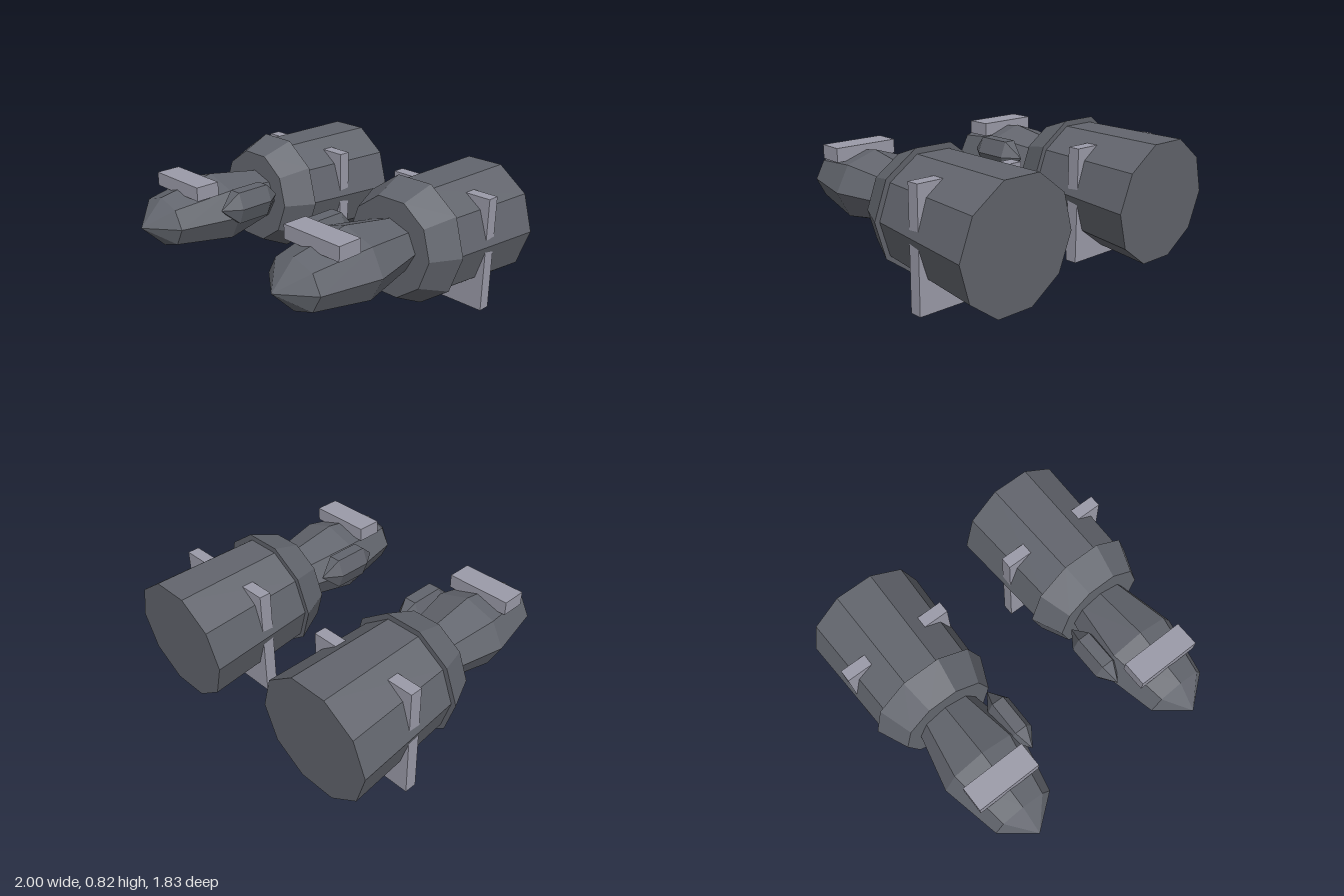
import * as THREE from 'three';

const darkGrey = new THREE.MeshStandardMaterial({ color: 0x62656d });
const paleGrey = new THREE.MeshStandardMaterial({ color: 0x9a9aa8 });
darkGrey.name = 'darkGrey';
paleGrey.name = 'paleGrey';

// Faceted mesh: every face keeps its own normal
function part(name, geometry, material, x, y, z) {
  const flat = geometry.toNonIndexed();
  flat.computeVertexNormals();
  const mesh = new THREE.Mesh(flat, material);
  mesh.name = name;
  mesh.position.set(x, y, z);
  return mesh;
}

// Ten-sided tapered sleeve along z, with corners on the x axis
function sleeve(frontRadius, backRadius, length) {
  return new THREE.CylinderGeometry(frontRadius, backRadius, length, 10)
    .rotateY(Math.PI / 2).rotateX(Math.PI / 2);
}

// Low-poly ellipsoid with its poles along z
function ellipsoid(rx, ry, rz, sides, rings) {
  return new THREE.SphereGeometry(1, sides, rings)
    .rotateX(Math.PI / 2).scale(rx, ry, rz);
}

function createGauntlet(side) {
  const glove = new THREE.Group();
  glove.name = side > 0 ? 'leftGauntlet' : 'rightGauntlet';
  glove.position.x = side * 0.603;

  // Forearm cuff and flared wrist band, tilted slightly upwards
  const cuff = part('cuff', sleeve(0.362, 0.395, 0.72), darkGrey, 0, 0.424, -0.54);
  const band = part('wristBand', sleeve(0.308, 0.395, 0.2), darkGrey, 0, 0.453, -0.09);
  cuff.rotation.x = band.rotation.x = -0.053;

  // Fist, and thumb on the inner side
  const fist = part('fist', ellipsoid(0.285, 0.225, 0.54, 8, 4), darkGrey, 0, 0.475, 0.37);
  const thumb = part('thumb', ellipsoid(0.092, 0.135, 0.225, 6, 3), darkGrey, -side * 0.27, 0.55, 0.275);

  // Knuckle guard and upright plate through the cuff
  const guard = part('knuckleGuard', new THREE.BoxGeometry(0.42, 0.088, 0.16), paleGrey, 0, 0.676, 0.55);
  const plate = part('cuffPlate', new THREE.BoxGeometry(0.725, 0.727, 0.078), paleGrey, 0, 0.3635, -0.497);

  glove.add(cuff, band, fist, thumb, guard, plate);
  return glove;
}

export function createModel() {
  const model = new THREE.Group();
  model.name = 'gauntletPair';
  for (const side of [1, -1]) model.add(createGauntlet(side));
  return model;
}
